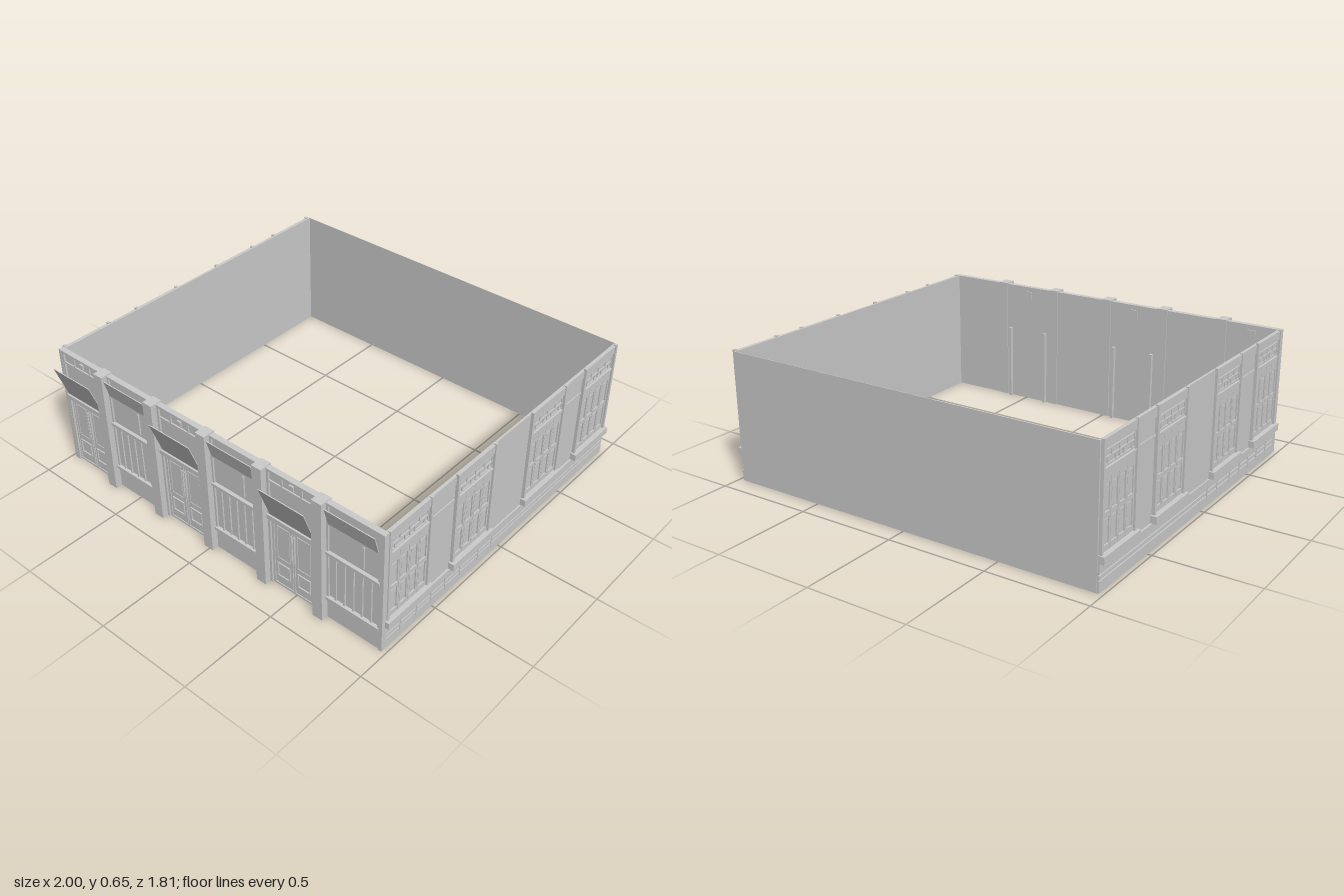
import * as THREE from 'three';

const material = new THREE.MeshStandardMaterial({ color: 0xcccccc, flatShading: true, side: THREE.DoubleSide });

// Box given by its min and max on each axis
function block(parent, name, x0, x1, y0, y1, z0, z1) {
  const mesh = new THREE.Mesh(new THREE.BoxGeometry(x1 - x0, y1 - y0, z1 - z0), material);
  mesh.position.set((x0 + x1) / 2, (y0 + y1) / 2, (z0 + z1) / 2);
  mesh.name = name;
  parent.add(mesh);
  return mesh;
}

function group(parent, name) {
  const g = new THREE.Group();
  g.name = name;
  parent.add(g);
  return g;
}

const H = 0.645;      // wall height
const BACK = -0.9;    // rear plane
const FACE = 0.833;   // outer face of the front wall

// Tilted transom sash, hinged at its lower edge and leaning outward
function hopper(parent, name, x0, x1, y0, y1, z0, z1) {
  const len = Math.hypot(y1 - y0, z1 - z0);
  const mesh = new THREE.Mesh(new THREE.BoxGeometry(x1 - x0, len, 0.004), material);
  mesh.position.set((x0 + x1) / 2, (y0 + y1) / 2, (z0 + z1) / 2);
  mesh.rotation.x = Math.atan2(z1 - z0, y1 - y0);
  mesh.name = name;
  parent.add(mesh);
}

// Thin rectangular moulding on the front wall
function frontFrame(parent, name, x0, x1, y0, y1, t, z1) {
  block(parent, name, x0, x0 + t, y0, y1, FACE, z1);
  block(parent, name, x1 - t, x1, y0, y1, FACE, z1);
  block(parent, name, x0 + t, x1 - t, y0, y0 + t, FACE, z1);
  block(parent, name, x0 + t, x1 - t, y1 - t, y1, FACE, z1);
}

function doorBay(parent, x0, x1) {
  const bay = group(parent, 'doorBay');
  const mid = (x0 + x1) / 2;
  // Frame, lintel and upper transom
  block(bay, 'doorJamb', x0, x0 + 0.012, 0, H, FACE, 0.842);
  block(bay, 'doorJamb', x1 - 0.012, x1, 0, H, FACE, 0.842);
  block(bay, 'doorLintel', x0, x1, 0.375, 0.398, FACE, 0.85);
  block(bay, 'transomRail', x0, x1, 0.575, 0.585, FACE, 0.84);
  for (const f of [0.3, 0.7]) {
    const x = x0 + f * (x1 - x0);
    block(bay, 'transomBar', x - 0.004, x + 0.004, 0.585, 0.632, FACE, 0.839);
  }
  block(bay, 'lampBracket', mid - 0.012, mid + 0.012, 0.595, 0.62, FACE, 0.841);
  // Two leaves with a low square panel and a tall upper one
  for (const s of [-1, 1]) {
    const a = mid + s * 0.012, b = mid + s * 0.105;
    const l = Math.min(a, b), r = Math.max(a, b);
    frontFrame(bay, 'doorLeafEdge', l - 0.008, r + 0.008, 0.012, 0.37, 0.004, 0.837);
    frontFrame(bay, 'lowerDoorPanel', l + 0.01, r - 0.01, 0.06, 0.137, 0.005, 0.839);
    frontFrame(bay, 'upperDoorPanel', l + 0.01, r - 0.01, 0.165, 0.35, 0.003, 0.836);
    block(bay, 'doorHandle', mid + s * 0.008 - 0.003, mid + s * 0.008 + 0.003, 0.19, 0.34, FACE, 0.842);
    // Posts standing against the inner face
    block(bay, 'innerPost', mid + s * 0.112 - 0.008, mid + s * 0.112 + 0.008, 0, 0.4, 0.796, 0.815);
  }
  block(bay, 'innerPlate', mid - 0.02, mid + 0.02, 0.57, 0.62, 0.81, 0.815);
  hopper(bay, 'doorHopper', mid - 0.125, mid + 0.125, 0.4, 0.575, 0.84, 0.903);
}

function windowBay(parent, x0, x1) {
  const bay = group(parent, 'windowBay');
  const w = x1 - x0, mid = (x0 + x1) / 2;
  block(bay, 'apron', x0, x1, 0, 0.112, FACE, 0.838);
  block(bay, 'sill', x0, x1, 0.112, 0.127, FACE, 0.85);
  block(bay, 'windowHead', x0, x1, 0.37, 0.386, FACE, 0.85);
  block(bay, 'transomRail', x0, x1, 0.53, 0.54, FACE, 0.842);
  for (const x of [x0, x1 - 0.01]) block(bay, 'windowJamb', x, x + 0.01, 0.127, H, FACE, 0.842);
  for (let i = 1; i < 6; i++) {
    const x = x0 + w * i / 6;
    block(bay, 'windowBar', x - 0.004, x + 0.004, 0.127, 0.37, FACE, 0.84);
  }
  const prop = x0 + 0.68 * w;
  block(bay, 'pullRod', prop - 0.004, prop + 0.004, 0.4, 0.515, FACE, 0.84);
  hopper(bay, 'windowHopper', mid - 0.13, mid + 0.13, 0.54, 0.632, 0.842, 0.868);
}

// Side wall elements are laid out on the +x side and mirrored by s
function sideWall(parent, s) {
  const wall = group(parent, s > 0 ? 'leftWall' : 'rightWall');
  const slab = (name, xa, xb, y0, y1, z0, z1) =>
    block(wall, name, Math.min(s * xa, s * xb), Math.max(s * xa, s * xb), y0, y1, z0, z1);
  slab('wallPanel', 0.962, 0.97, 0, H, BACK, 0.833);
  // Plinth with projecting bands and short joints
  slab('plinth', 0.97, 0.974, 0, 0.128, BACK, 0.833);
  slab('plinthBand', 0.974, 0.98, 0, 0.052, BACK, 0.833);
  slab('plinthBand', 0.974, 0.98, 0.058, 0.076, BACK, 0.833);
  slab('plinthBand', 0.974, 0.98, 0.082, 0.128, BACK, 0.833);
  for (const z of [0.72, 0.61, 0.51, 0.41, 0.3, 0.165, 0.06])
    slab('plinthJoint', 0.974, 0.982, 0.03, 0.1, z - 0.003, z + 0.003);
  // Raised panel in the wide middle gap, rails in the narrow ones
  slab('middlePanel', 0.97, 0.973, 0.128, H, -0.175, 0.09);
  for (const [z0, z1] of [[0.375, 0.53], [-0.61, -0.46]]) {
    slab('wallRail', 0.97, 0.977, 0.6, H, z0, z1);
    slab('wallRail', 0.97, 0.975, 0.51, 0.522, z0, z1);
  }
  for (const [z0, z1] of [[0.535, 0.815], [0.09, 0.37], [-0.46, -0.18], [-0.895, -0.615]])
    sideWindow(slab, z0, z1);
}

function sideWindow(slab, z0, z1) {
  const t = 0.015, a = z0 + t, b = z1 - t;
  slab('windowSill', 0.97, 1, 0.128, 0.163, Math.max(z0 - 0.01, BACK), z1 + 0.01);
  slab('windowPost', 0.97, 0.985, 0.163, 0.65, z0, a);
  slab('windowPost', 0.97, 0.985, 0.163, 0.65, b, z1);
  slab('windowHead', 0.97, 0.98, 0.602, H, a, b);
  slab('transomRail', 0.97, 0.98, 0.508, 0.52, a, b);
  // Fretwork transom: lattice of staggered bars
  const n = 8, step = (b - a) / n;
  for (const y of [0.53, 0.56, 0.59]) slab('fretBar', 0.97, 0.975, y - 0.003, y + 0.003, a + 0.005, b - 0.005);
  for (let i = 0; i <= n; i++) {
    const z = Math.min(Math.max(a + i * step, a + 0.006), b - 0.006);
    const full = i % 4 === 0;
    const low = full || i % 2 ? 0.53 : 0.56, high = full || i % 2 === 0 ? 0.59 : 0.56;
    slab('fretUpright', 0.97, 0.975, low, high, z - 0.003, z + 0.003);
  }
  // Four shutter leaves, each with stiles, rails and small inner panels
  const w = (b - a) / 4;
  for (let i = 0; i < 4; i++) {
    const l = a + i * w, r = l + w;
    slab('shutterStile', 0.97, 0.976, 0.163, 0.508, l + 0.001, l + 0.01);
    slab('shutterStile', 0.97, 0.976, 0.163, 0.508, r - 0.01, r - 0.001);
    for (const [y0, y1] of [[0.163, 0.19], [0.31, 0.332], [0.455, 0.508]])
      slab('shutterRail', 0.97, 0.976, y0, y1, l + 0.01, r - 0.01);
    for (const [y0, y1] of [[0.2, 0.3], [0.342, 0.445]])
      slab('shutterPanel', 0.97, 0.973, y0, y1, l + 0.016, r - 0.016);
  }
}

export function createModel() {
  const model = new THREE.Group();
  model.name = 'groundFloorFacade';

  // Front wall with bays, pilasters and a thin cap
  const front = group(model, 'frontWall');
  block(front, 'wallPanel', -0.975, 0.975, 0, H, 0.815, FACE);
  block(front, 'cap', -0.98, 0.98, 0.632, H, FACE, 0.843);
  for (const s of [-1, 1]) block(front, 'endPost', s * 0.971 - 0.009, s * 0.971 + 0.009, 0, H, 0.815, 0.843);
  const piers = [-0.668, -0.337, -0.006, 0.325, 0.653];
  for (const x of piers) block(front, 'pilaster', x - 0.027, x + 0.027, 0, 0.65, 0.81, 0.873);
  const edges = [-0.989, ...piers, 0.989];
  for (let i = 0; i < 6; i++) {
    const x0 = edges[i] + 0.027, x1 = edges[i + 1] - 0.027;
    (i % 2 ? windowBay : doorBay)(front, x0, x1);
  }

  for (const s of [-1, 1]) sideWall(model, s);

  // Plain rear wall
  block(model, 'backWall', -0.97, 0.97, 0, H, BACK - 0.003, BACK);
  return model;
}
